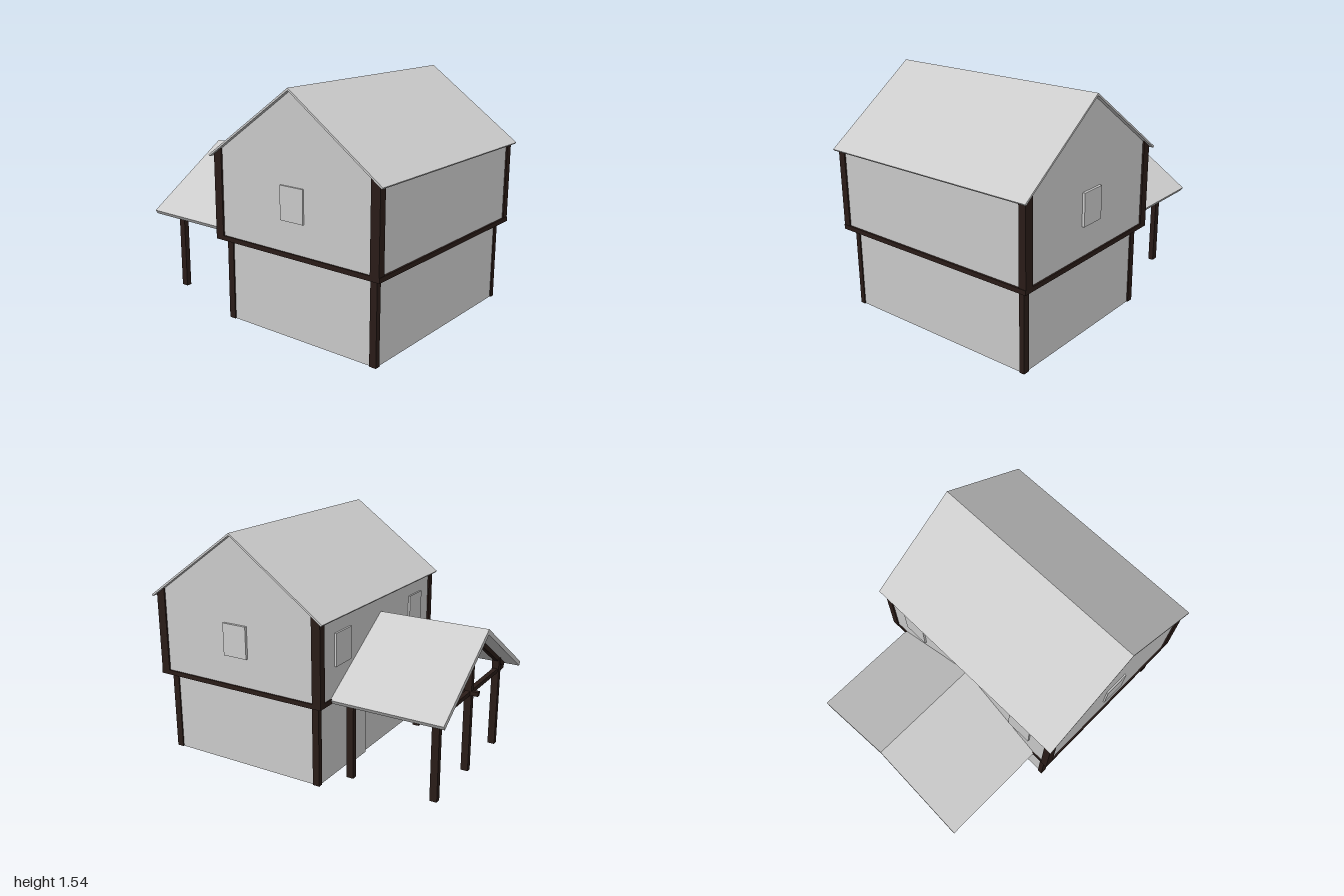
import * as THREE from 'three';

const grey = new THREE.MeshStandardMaterial({ color: 0xcccccc, flatShading: true });
const timber = new THREE.MeshStandardMaterial({ color: 0x2a1c18, flatShading: true });

export function createModel() {
  const house = new THREE.Group();
  house.name = 'house';

  const add = (name, geometry, material) => {
    const mesh = new THREE.Mesh(geometry, material);
    mesh.name = name;
    house.add(mesh);
    return mesh;
  };

  // Box given by its lower and upper corners
  const box = (name, material, [x0, y0, z0], [x1, y1, z1]) =>
    add(name, new THREE.BoxGeometry(x1 - x0, y1 - y0, z1 - z0), material)
      .position.set((x0 + x1) / 2, (y0 + y1) / 2, (z0 + z1) / 2);

  // Outline extruded along z, centred on its depth
  const prism = (points, depth) =>
    new THREE.ExtrudeGeometry(
      new THREE.Shape(points.map(p => new THREE.Vector2(...p))),
      { depth, bevelEnabled: false }
    ).translate(0, 0, -depth / 2);

  // Two sloping slabs meeting at a ridge
  const gableRoof = (halfSpan, eave, ridge, thick, length) => {
    const a = Math.atan2(ridge - eave, halfSpan);
    const dx = thick * Math.sin(a), dy = thick * Math.cos(a);
    return prism([
      [halfSpan, eave], [0, ridge], [-halfSpan, eave],
      [-halfSpan + dx, eave - dy], [0, ridge - thick / Math.cos(a)], [halfSpan - dx, eave - dy]
    ], length);
  };

  // Ground floor
  box('lowerWalls', grey, [-0.685, 0.01, -0.21], [0.685, 0.55, 0.92]);
  box('floor', timber, [-0.655, 0.006, -0.18], [0.655, 0.05, 0.89]);
  for (const s of [-1, 1]) {
    for (const z of [-0.196, 0.905]) {
      box('lowerPost', timber, [s * 0.677 - 0.017, 0.01, z - 0.023], [s * 0.677 + 0.017, 0.55, z + 0.023]);
    }
  }

  // Jettied floor beam between the storeys
  box('floorBand', timber, [-0.743, 0.543, -0.265], [0.743, 0.573, 0.976]);

  // Upper storey with gables, and corner posts cut to the roof slope
  const ridgeZ = 0.353, span = 0.648, eave = 1.08, ridge = 1.542;
  const under = z => ridge - 0.015 - Math.abs(z) * (ridge - eave) / span;
  const w = 0.61, h = 0.62;
  add('upperWalls', prism([[-w, 0.57], [w, 0.57], [w, under(w)], [0, under(0)], [-w, under(w)]], 1.464)
    .rotateY(-Math.PI / 2), grey).position.z = ridgeZ;
  for (const sx of [-1, 1]) {
    for (const sz of [-1, 1]) {
      const corner = [[h - 0.061, 0.545], [h, 0.545], [h, under(h)], [h - 0.061, under(h - 0.061)]]
        .map(([z, y]) => [sz * z, y]);
      const post = add('upperPost', prism(corner, 0.049).rotateY(-Math.PI / 2), timber);
      post.position.set(sx * 0.7185, 0, ridgeZ);
    }
  }
  add('mainRoof', gableRoof(span, eave, ridge, 0.012, 1.524).rotateY(-Math.PI / 2), grey)
    .position.z = ridgeZ;

  // Windows and door
  box('gableWindowLeft', grey, [0.72, 0.765, 0.268], [0.749, 0.975, 0.44]);
  box('gableWindowRight', grey, [-0.743, 0.765, 0.268], [-0.72, 0.975, 0.44]);
  for (const x of [-0.48, 0.48]) {
    box('backWindow', grey, [x - 0.088, 0.765, -0.27], [x + 0.088, 0.975, -0.24]);
  }
  box('door', grey, [0.13, 0.012, -0.226], [0.33, 0.4, -0.2]);

  // Porch roof
  const porchSpan = 0.622, porchEave = 0.566, porchRidge = 0.966;
  add('porchRoof', gableRoof(porchSpan, porchEave, porchRidge, 0.03, 0.76), grey)
    .position.z = -0.62;

  // Porch posts, the middle one rising to the ridge
  const porchPost = (x, z, top) =>
    box('porchPost', timber, [x - 0.018, 0, z - 0.024], [x + 0.018, top, z + 0.024]);
  const outerZ = -0.889, innerZ = -0.312;
  for (const x of [-0.465, 0.465]) {
    porchPost(x, outerZ, 0.62);
    porchPost(x, innerZ, 0.62);
  }
  porchPost(0, outerZ, 0.93);

  // Porch tie beams and rafters
  for (const z of [outerZ, innerZ]) {
    box('porchCrossBeam', timber, [-0.56, 0.522, z - 0.016], [0.56, 0.55, z + 0.016]);
    for (const s of [-1, 1]) {
      const a = Math.atan2(porchRidge - porchEave, porchSpan);
      const rafter = add('porchRafter', new THREE.BoxGeometry(0.68, 0.03, 0.032), timber);
      rafter.position.set(s * 0.285, porchRidge - 0.055 - 0.285 * Math.tan(a), z);
      rafter.rotation.z = -s * a;
    }
  }
  box('porchLongBeam', timber, [-0.016, 0.522, -0.955], [0.016, 0.55, -0.21]);

  return house;
}
